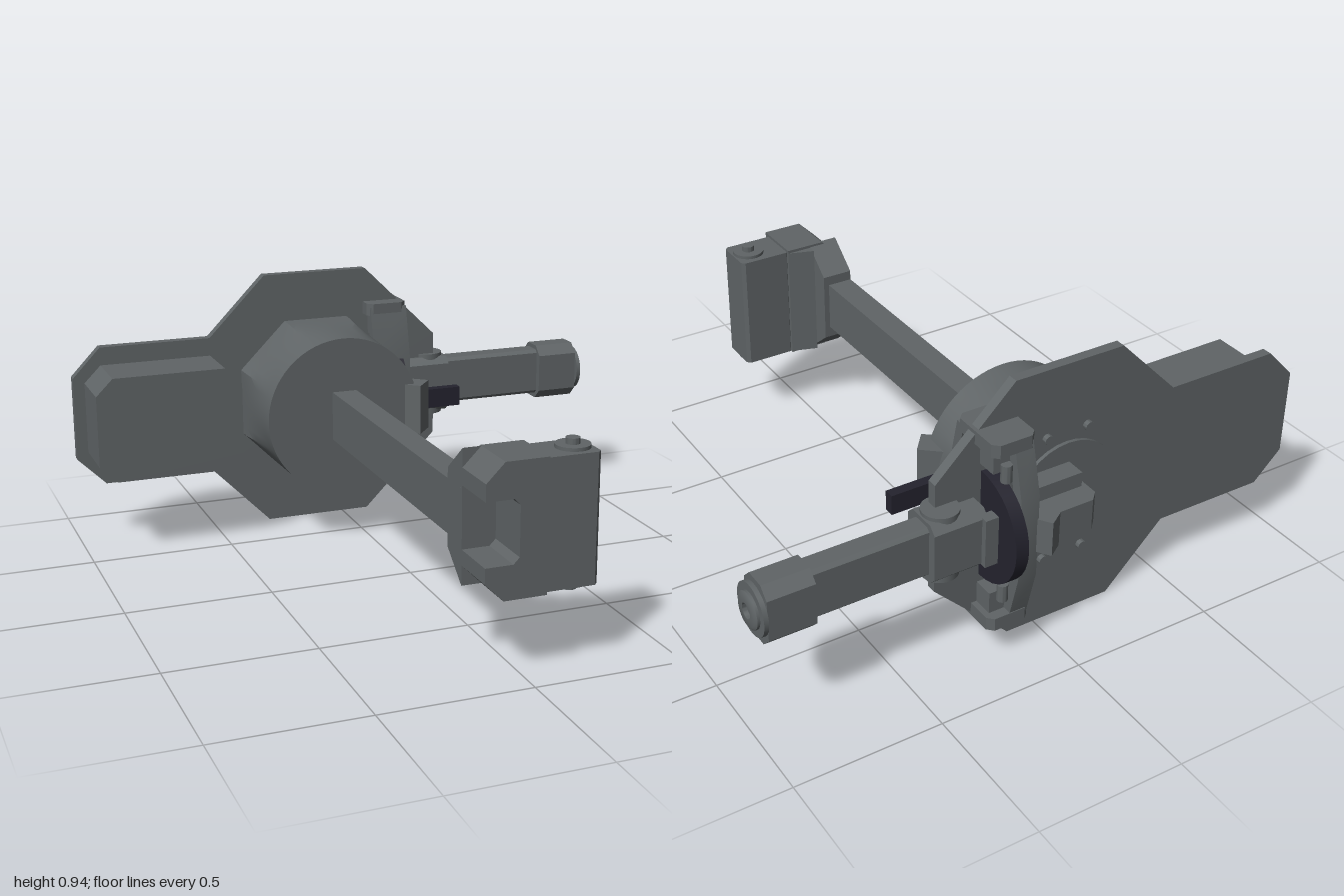
import * as THREE from 'three';
import { toCreasedNormals } from 'three/addons/utils/BufferGeometryUtils.js';

const grey = new THREE.MeshStandardMaterial({ color: 0x5f6466 });
grey.name = 'gunmetal grey';
const dark = new THREE.MeshStandardMaterial({ color: 0x24232e });
dark.name = 'dark navy';

export function createModel() {
  const model = new THREE.Group();
  const CY = 0.475;

  function add(name, geo, mat = grey) {
    const mesh = new THREE.Mesh(toCreasedNormals(geo, 0.55), mat);
    mesh.name = name;
    model.add(mesh);
    return mesh;
  }

  // Box from its limits on each axis
  function box(name, x0, x1, y0, y1, z0, z1, mat) {
    const g = new THREE.BoxGeometry(x1 - x0, y1 - y0, z1 - z0);
    g.translate((x0 + x1) / 2, (y0 + y1) / 2, (z0 + z1) / 2);
    return add(name, g, mat);
  }

  // Extruded outline; corners are (x,y) along z, (y,z) along x or (z,x) along y
  function prism(name, axis, pts, from, to, mat) {
    const shape = new THREE.Shape(pts.map(p => new THREE.Vector2(p[0], p[1])));
    const g = new THREE.ExtrudeGeometry(shape, { depth: to - from, bevelEnabled: false });
    g.translate(0, 0, from);
    const X = new THREE.Vector3(1, 0, 0), Y = new THREE.Vector3(0, 1, 0), Z = new THREE.Vector3(0, 0, 1);
    const m = new THREE.Matrix4();
    if (axis === 'x') g.applyMatrix4(m.makeBasis(Y, Z, X));
    if (axis === 'y') g.applyMatrix4(m.makeBasis(Z, X, Y));
    return add(name, g, mat);
  }

  // Rectangle outline with cut corners
  function chamfered(a0, a1, b0, b1, c) {
    return [[a0 + c, b0], [a1 - c, b0], [a1, b0 + c], [a1, b1 - c],
      [a1 - c, b1], [a0 + c, b1], [a0, b1 - c], [a0, b0 + c]];
  }

  function cylinder(name, axis, r, len, x, y, z, mat) {
    const g = new THREE.CylinderGeometry(r, r, len, 32);
    if (axis === 'x') g.rotateZ(-Math.PI / 2);
    if (axis === 'z') g.rotateX(Math.PI / 2);
    g.translate(x, y, z);
    return add(name, g, mat);
  }

  // Mounting plate and side box
  prism('mountingPlate', 'z', [[-1, 0.32], [-0.9, 0.22], [-0.5, 0.22], [-0.29, 0.005], [0.1, 0.005],
    [0.375, 0.28], [0.375, 0.67], [0.1, 0.94], [-0.29, 0.94], [-0.5, 0.725], [-0.9, 0.725], [-1, 0.62]], -0.75, -0.715);
  prism('sideBox', 'z', chamfered(-0.96, -0.44, 0.285, 0.66, 0.06), -0.715, -0.51);

  // Drum: octagonal at the plate, round at the front
  const drum = new THREE.CylinderGeometry(1, 1, 0.315, 64, 6).rotateX(Math.PI / 2);
  const p = drum.attributes.position;
  for (let i = 0; i < p.count; i++) {
    const a = Math.atan2(p.getY(i), p.getX(i));
    const off = a - Math.round(a / (Math.PI / 4)) * (Math.PI / 4);
    const t = THREE.MathUtils.smoothstep(p.getZ(i), -0.158, 0.158);
    const r = THREE.MathUtils.lerp(0.29 / Math.cos(off), 0.283, t);
    p.setXY(i, p.getX(i) * r, p.getY(i) * r);
  }
  drum.translate(-0.095, CY, -0.5575);
  drum.computeVertexNormals();
  add('drum', drum);
  const stub = add('angledStub', new THREE.BoxGeometry(0.09, 0.18, 0.2));
  stub.position.set(0.135, 0.477, -0.46);
  stub.rotation.y = 0.87;

  // Forward arm and its end block
  box('forwardArm', -0.14, -0.05, 0.39, 0.565, -0.42, 0.76);
  const hood = new THREE.BoxGeometry(0.11, 0.43, 0.11);
  const h = hood.attributes.position;
  for (let i = 0; i < h.count; i++) if (h.getZ(i) < 0) h.setY(i, h.getY(i) * 0.58);
  hood.translate(-0.085, CY, 0.715);
  hood.computeVertexNormals();
  add('endBlockHood', hood);
  prism('endBlockClamp', 'z', [[-0.08, 0.265], [0.06, 0.265], [0.06, 0.69], [-0.08, 0.69], [-0.14, 0.63],
    [-0.14, 0.575], [-0.05, 0.575], [-0.03, 0.555], [-0.03, 0.395], [-0.05, 0.375], [-0.14, 0.375], [-0.14, 0.325]], 0.76, 0.94);
  prism('endBlockStep', 'y', [[0.73, -0.03], [0.76, 0.06], [0.78, 0.06], [0.78, -0.03]], 0.27, 0.68);
  prism('endBlockBody', 'y', chamfered(0.77, 0.92, 0.05, 0.24, 0.012), 0.265, 0.68);
  for (const s of [-1, 1]) {
    cylinder('endBlockWasher', 'y', 0.055, 0.012, 0.18, 0.473 + s * 0.212, 0.845);
    cylinder('endBlockBolt', 'y', 0.022, 0.03, 0.18, 0.473 + s * 0.222, 0.845);
  }

  // Side arm, collar and tip
  prism('sideArm', 'x', chamfered(0.39, 0.565, -0.8, -0.715, 0.012), 0.3, 0.84);
  prism('sideArmCollar', 'x', chamfered(0.37, 0.58, -0.83, -0.68, 0.025), 0.24, 0.425);
  cylinder('collarPivot', 'y', 0.06, 0.235, 0.36, CY, -0.755);
  prism('sideArmTip', 'x', chamfered(0.37, 0.58, -0.83, -0.69, 0.035), 0.815, 0.97);
  cylinder('tipFlange', 'x', 0.085, 0.015, 0.978, CY, -0.755);
  const ring = new THREE.LatheGeometry([[0.025, -0.015], [0.06, -0.015], [0.06, 0.012], [0.05, 0.018],
    [0.025, 0.018], [0.025, -0.015]].map(q => new THREE.Vector2(q[0], q[1])), 32);
  ring.rotateZ(-Math.PI / 2).translate(0.982, CY, -0.755);
  add('tipRing', ring);

  // Dark wheel with its handle
  cylinder('wheel', 'x', 0.192, 0.045, 0.192, CY, -0.753, dark);
  box('wheelBracket', 0.17, 0.215, 0.44, 0.51, -0.62, -0.5, dark);
  box('wheelHandle', 0.2, 0.395, 0.44, 0.51, -0.535, -0.5, dark);

  // Wheel frame: end blocks joined by bowed rails
  for (const s of [-1, 1]) {
    const y = v => CY + s * v;
    const span = (a, b) => [Math.min(y(a), y(b)), Math.max(y(a), y(b))];
    prism('frameEndBlock', 'y', chamfered(-0.855, -0.65, 0.09, 0.24, 0.02), ...span(0.295, 0.34));
    box('frameEndWeb', 0.11, 0.22, ...span(0.22, 0.3), -0.82, -0.68);
    for (const z of [-0.83, -0.675]) cylinder('frameBolt', 'y', 0.018, 0.06, 0.18, y(0.22), z);
  }
  prism('rearRail', 'x', [[0.15, -0.81], [0.15, -0.845], [0.33, -0.89], [0.62, -0.89], [0.8, -0.845],
    [0.8, -0.81], [0.62, -0.85], [0.33, -0.85]], 0.1, 0.165);
  prism('frontRail', 'x', [[0.15, -0.69], [0.33, -0.65], [0.62, -0.65], [0.8, -0.69],
    [0.8, -0.655], [0.62, -0.615], [0.33, -0.615], [0.15, -0.655]], 0.1, 0.24);
  for (const z of [-0.83, -0.685]) box('frameHub', 0.21, 0.26, 0.39, 0.56, z - 0.02, z + 0.02);

  // Latch on the back of the plate
  cylinder('backDisc', 'z', 0.19, 0.014, -0.095, CY, -0.755);
  prism('latchBody', 'y', [[-0.755, -0.13], [-0.755, 0.1], [-0.83, 0.1], [-0.89, 0.04],
    [-0.89, -0.1], [-0.86, -0.13]], 0.42, 0.53);
  for (const s of [-1, 1]) {
    box('latchJaw', -0.1, 0.1, CY + s * 0.095 - 0.025, CY + s * 0.095 + 0.025, -0.83, -0.755);
    cylinder('plateBolt', 'z', 0.016, 0.02, -0.02, CY + s * 0.225, -0.757);
    cylinder('plateBolt', 'z', 0.016, 0.02, -0.17, CY + s * 0.225, -0.757);
  }
  const lever = add('latchLever', new THREE.BoxGeometry(0.06, 0.12, 0.12));
  lever.position.set(0.085, CY, -0.865);
  lever.rotation.y = 0.6;

  return model;
}
